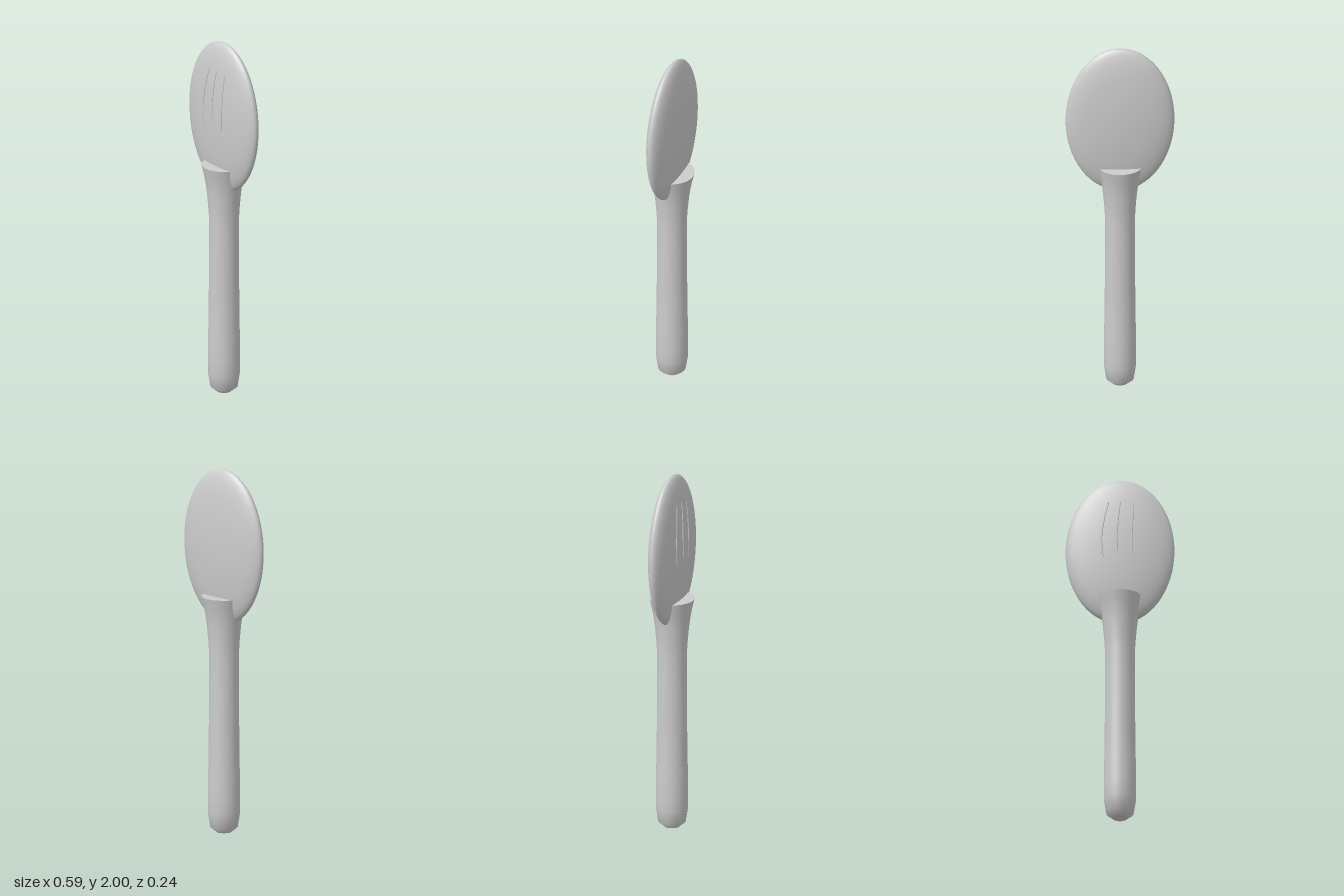
import * as THREE from 'three';

const CENTER_Y = 1.577, RX = 0.293, RY = 0.423, RZ = 0.071;

export function createModel() {
  const group = new THREE.Group();
  const grey = new THREE.MeshStandardMaterial({ color: 0xcccccc });
  grey.name = 'plain grey';

  const add = (name, geometry) => {
    const mesh = new THREE.Mesh(geometry, grey);
    mesh.name = name;
    group.add(mesh);
    return mesh;
  };

  // Flat oval head
  const head = add('head', new THREE.SphereGeometry(1, 48, 32));
  head.scale.set(RX, RY, RZ);
  head.position.y = CENTER_Y;

  // Turned handle with a rounded foot and a flared collar
  const profile = [
    [0.04, 0], [0.074, 0.028], [0.087, 0.11], [0.087, 0.2], [0.086, 0.34],
    [0.083, 0.37], [0.082, 0.58], [0.080, 0.8], [0.080, 0.98], [0.085, 1.06],
    [0.092, 1.14], [0.100, 1.2], [0.110, 1.25], [0.122, 1.302],
  ].map(([r, y]) => new THREE.Vector2(r, y));
  add('handle', new THREE.LatheGeometry(profile, 40));

  // Flat ends of the handle
  const collarTop = add('collarTop', new THREE.CircleGeometry(0.122, 40));
  collarTop.rotation.x = -Math.PI / 2;
  collarTop.position.y = 1.302;
  const foot = add('handleFoot', new THREE.CircleGeometry(0.04, 40));
  foot.rotation.x = Math.PI / 2;

  // Fine raised strokes following the front of the head
  const strokes = [
    [[-0.06, 1.85], [-0.082, 1.75], [-0.097, 1.64], [-0.09, 1.52]],
    [[0.003, 1.85], [-0.006, 1.76], [-0.014, 1.65], [-0.011, 1.55]],
    [[0.072, 1.84], [0.07, 1.74], [0.067, 1.64], [0.067, 1.53]],
  ];
  strokes.forEach((points, i) => {
    const path = new THREE.CatmullRomCurve3(points.map(([x, y]) => {
      const d = 1 - (x / RX) ** 2 - ((y - CENTER_Y) / RY) ** 2;
      return new THREE.Vector3(x, y, RZ * Math.sqrt(Math.max(d, 0)));
    }));
    add('headStroke' + (i + 1), new THREE.TubeGeometry(path, 24, 0.004, 8));
  });

  return group;
}
